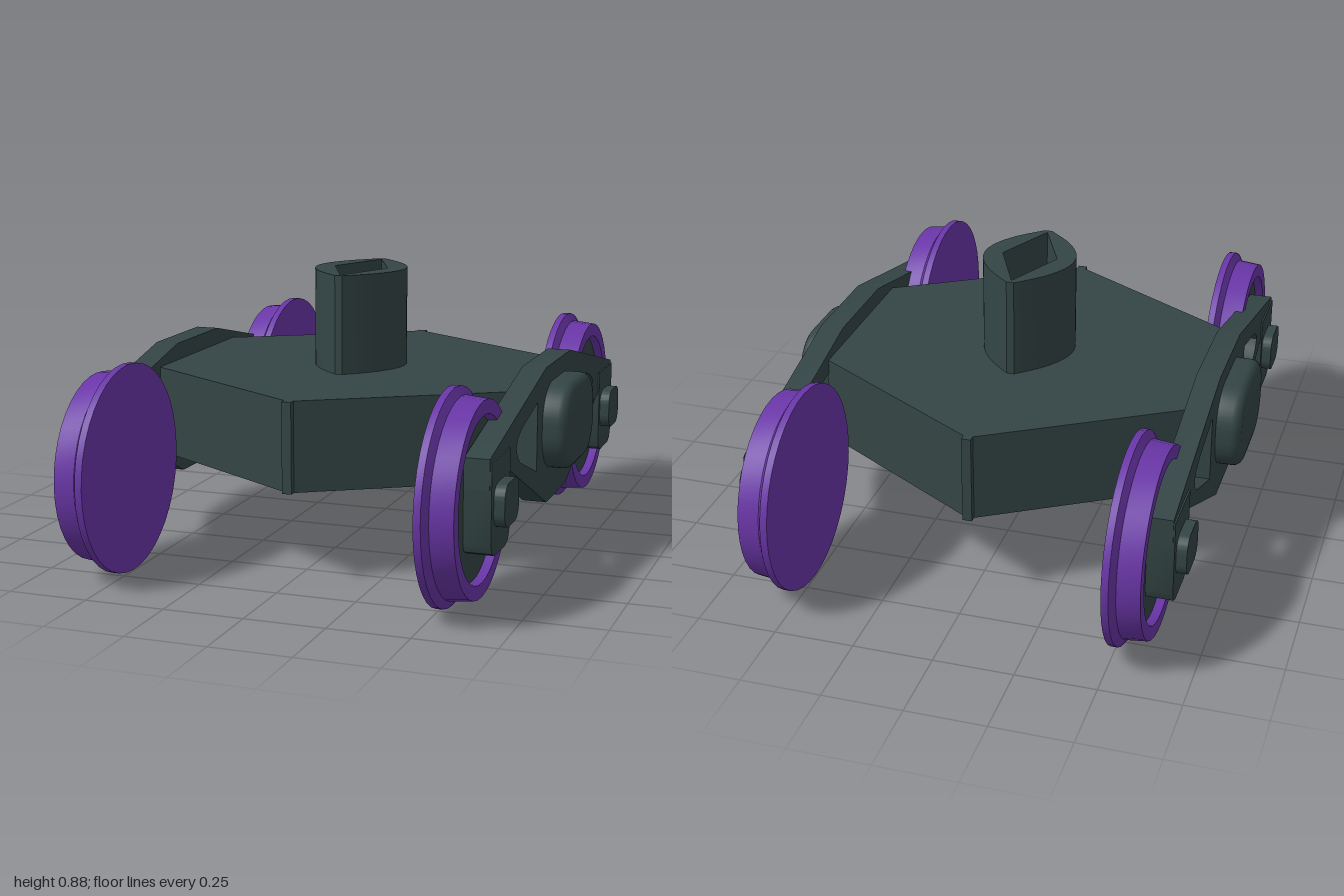
import * as THREE from 'three';
import { toCreasedNormals } from 'three/addons/utils/BufferGeometryUtils.js';

const iron = new THREE.MeshStandardMaterial({ color: 0x344545, side: THREE.DoubleSide });
iron.name = 'dark iron';
const purple = new THREE.MeshStandardMaterial({ color: 0x6a36a8 });
purple.name = 'wheel purple';

const v2 = (pts) => pts.map(([x, y]) => new THREE.Vector2(x, y));

function add(parent, name, geometry, material = iron) {
  const mesh = new THREE.Mesh(toCreasedNormals(geometry, 0.6), material);
  mesh.name = name;
  parent.add(mesh);
  return mesh;
}

// Plate drawn in plan (x, z) and raised from y0 to y1
function planPlate(outline, hole, y0, y1) {
  const shape = new THREE.Shape(v2(outline));
  if (hole) shape.holes.push(new THREE.Path(v2(hole)));
  return new THREE.ExtrudeGeometry(shape, { depth: y1 - y0, bevelEnabled: false })
    .rotateX(-Math.PI / 2).translate(0, y0, 0);
}

// Plate drawn in side view (z, y) and extended from x0 to x1
function sidePlate(shape, x0, x1, bevel = 0) {
  return new THREE.ExtrudeGeometry(shape, {
    depth: x1 - x0 - bevel, bevelEnabled: bevel > 0, bevelSize: bevel, bevelThickness: bevel,
    bevelOffset: -bevel, bevelSegments: 4, curveSegments: 6,
  }).rotateY(Math.PI / 2).translate(x0, 0, 0);
}

function roundedRect(cx, cy, w, h, r) {
  const s = new THREE.Shape(), x = w / 2 - r, y = h / 2 - r;
  s.absarc(cx + x, cy + y, r, 0, Math.PI / 2);
  s.absarc(cx - x, cy + y, r, Math.PI / 2, Math.PI);
  s.absarc(cx - x, cy - y, r, Math.PI, Math.PI * 1.5);
  s.absarc(cx + x, cy - y, r, Math.PI * 1.5, Math.PI * 2);
  s.closePath();
  return s;
}

const hexagon = (k) => [[0, 0.65], [-0.59, 0.29], [-0.59, -0.29], [0, -0.65], [0.59, -0.29], [0.59, 0.29]]
  .map(([x, z]) => [x * k, z * k]);
const diamond = [[0, 0.2], [-0.09, 0], [0, -0.2], [0.09, 0]];

function createBolster() {
  const g = new THREE.Group();
  g.name = 'bolster';
  add(g, 'bolsterWalls', planPlate(hexagon(1), hexagon(0.97), 0.28, 0.54));
  add(g, 'bolsterTop', planPlate(hexagon(1), diamond, 0.54, 0.56));
  for (const s of [1, -1]) {
    add(g, 'cornerSeam', new THREE.BoxGeometry(0.03, 0.28, 0.03).translate(0, 0.42, s * 0.647));
  }

  // Lens-shaped pivot post with a diamond bore
  const arc = new THREE.SplineCurve(v2([[0.012, 0.215], [0.085, 0.145], [0.133, 0.07], [0.148, 0],
    [0.133, -0.07], [0.085, -0.145], [0.012, -0.215]])).getPoints(18).map((p) => [p.x, p.y]);
  const lens = [...arc, ...arc.map(([x, z]) => [-x, -z])];
  add(g, 'pivotPost', planPlate(lens, diamond, 0.555, 0.875));
  return g;
}

// Wheel centred on its axle, outer side facing +x
function createWheel() {
  const g = new THREE.Group();
  g.name = 'wheel';
  const profile = v2([[0, 0.503], [0.322, 0.503], [0.322, 0.525], [0.297, 0.541],
    [0.29, 0.61], [0.247, 0.61], [0.242, 0.575]]);
  add(g, 'wheelRim', new THREE.LatheGeometry(profile, 40).rotateZ(-Math.PI / 2), purple);
  add(g, 'wheelDisc', new THREE.CylinderGeometry(0.243, 0.243, 0.012, 40)
    .rotateZ(-Math.PI / 2).translate(0.577, 0, 0));
  return g;
}

function createSide() {
  const g = new THREE.Group();

  // Arched side frame with two windows
  const half = [[0.16, 0.615], [0.79, 0.47], [0.79, 0.38], [0.57, 0.385], [0.13, 0.18]];
  const mirror = (pts) => pts.map(([z, y]) => [-z, y]).reverse();
  const frame = new THREE.Shape(v2([...half, ...mirror(half)]));
  const hole = [[0.26, 0.525], [0.44, 0.485], [0.49, 0.462], [0.505, 0.438], [0.49, 0.408], [0.46, 0.385], [0.26, 0.31]];
  frame.holes.push(new THREE.Path(v2(hole)), new THREE.Path(v2(mirror(hole))));
  add(g, 'sideFrame', sidePlate(frame, 0.585, 0.66));

  // Rounded spring cover at the bolster end
  add(g, 'bolsterEnd', sidePlate(roundedRect(0, 0.422, 0.395, 0.275, 0.12), 0.62, 0.737, 0.03));

  for (const s of [1, -1]) {
    const box = new THREE.Shape(v2([[0.59, 0.46], [0.59, 0.22], [0.602, 0.192], [0.63, 0.18], [0.747, 0.18],
      [0.775, 0.192], [0.787, 0.22], [0.787, 0.46]].map(([z, y]) => [s * z, y])));
    add(g, 'axleBox', sidePlate(box, 0.583, 0.665));
    add(g, 'axleCap', sidePlate(roundedRect(s * 0.685, 0.325, 0.155, 0.13, 0.045), 0.65, 0.697));
    const wheel = createWheel();
    wheel.position.set(0, 0.322, s * 0.678);
    g.add(wheel);
  }
  return g;
}

export function createModel() {
  const model = new THREE.Group();
  model.name = 'railBogie';
  model.add(createBolster());
  const left = createSide();
  left.name = 'leftSide';
  const right = createSide();
  right.name = 'rightSide';
  right.rotation.y = Math.PI;
  model.add(left, right);
  return model;
}
